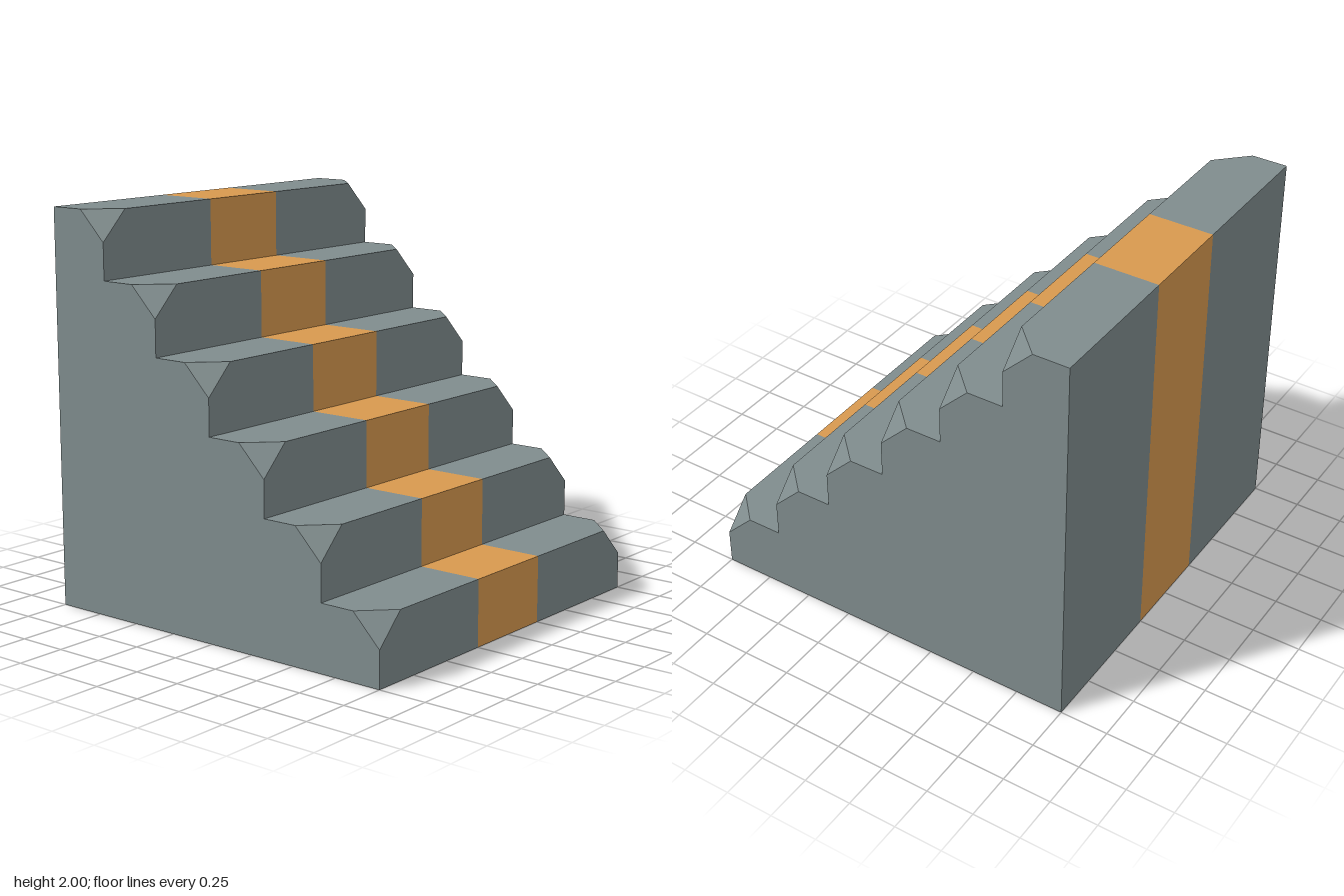
import * as THREE from 'three';

const STEPS = 6, SIZE = 1 / 3, CUT = 0.15, STRIP = 0.25;

// Collects flat convex polygons; mirrored polygons get reversed corner order.
function faceBuilder(mirror) {
  const pos = [];
  const poly = (...pts) => {
    const p = mirror ? pts.map(([x, y, z]) => [-x, y, z]).reverse() : pts;
    for (let i = 1; i < p.length - 1; i++) pos.push(...p[0], ...p[i], ...p[i + 1]);
  };
  const build = () => {
    const g = new THREE.BufferGeometry();
    g.setAttribute('position', new THREE.Float32BufferAttribute(pos, 3));
    g.computeVertexNormals();
    return g;
  };
  return { poly, build };
}

// Treads, risers, back and underside between x0 and x1; cut > 0 adds
// clipped step corners and closes the outer end at x1.
function stairSection(x0, x1, cut, mirror = false) {
  const { poly, build } = faceBuilder(mirror);
  const outline = [[-1, 2], [-1, 0], [1, 0]]; // end outline as z, y
  for (let i = 0; i < STEPS; i++) {
    const y0 = i * SIZE, y1 = y0 + SIZE, front = 1 - i * SIZE, back = front - SIZE;
    if (cut > 0) {
      poly([x0, y0, front], [x1, y0, front], [x1, y1 - cut, front], [x1 - cut, y1, front], [x0, y1, front]);
      poly([x0, y1, front], [x1 - cut, y1, front], [x1, y1, front - cut], [x1, y1, back], [x0, y1, back]);
      poly([x1 - cut, y1, front], [x1, y1 - cut, front], [x1, y1, front - cut]);
      outline.push([front, y1 - cut], [front - cut, y1]);
      if (i < STEPS - 1) outline.push([back, y1]);
    } else {
      poly([x0, y0, front], [x1, y0, front], [x1, y1, front], [x0, y1, front]);
      poly([x0, y1, front], [x1, y1, front], [x1, y1, back], [x0, y1, back]);
    }
  }
  poly([x0, 0, -1], [x0, 2, -1], [x1, 2, -1], [x1, 0, -1]);
  poly([x0, 0, 1], [x0, 0, -1], [x1, 0, -1], [x1, 0, 1]);
  if (cut > 0) {
    // Counter-clockwise contour as seen from outside the end
    const contour = outline.map(([z, y]) => new THREE.Vector2(-z, y));
    if (THREE.ShapeUtils.isClockWise(contour)) contour.reverse();
    for (const tri of THREE.ShapeUtils.triangulateShape(contour, [])) {
      poly(...tri.map((k) => [x1, contour[k].y, -contour[k].x]));
    }
  }
  return build();
}

export function createModel() {
  const stone = new THREE.MeshStandardMaterial({ color: 0x7f8c8d });
  stone.name = 'grey stone';
  const carpet = new THREE.MeshStandardMaterial({ color: 0xd8994f });
  carpet.name = 'orange carpet';

  const group = new THREE.Group();
  group.name = 'staircase';
  const add = (name, geometry, material) => {
    const mesh = new THREE.Mesh(geometry, material);
    mesh.name = name;
    group.add(mesh);
  };

  add('leftSteps', stairSection(STRIP, 1, CUT), stone);
  add('rightSteps', stairSection(STRIP, 1, CUT, true), stone);
  add('centreStrip', stairSection(-STRIP, STRIP, 0), carpet);
  return group;
}
